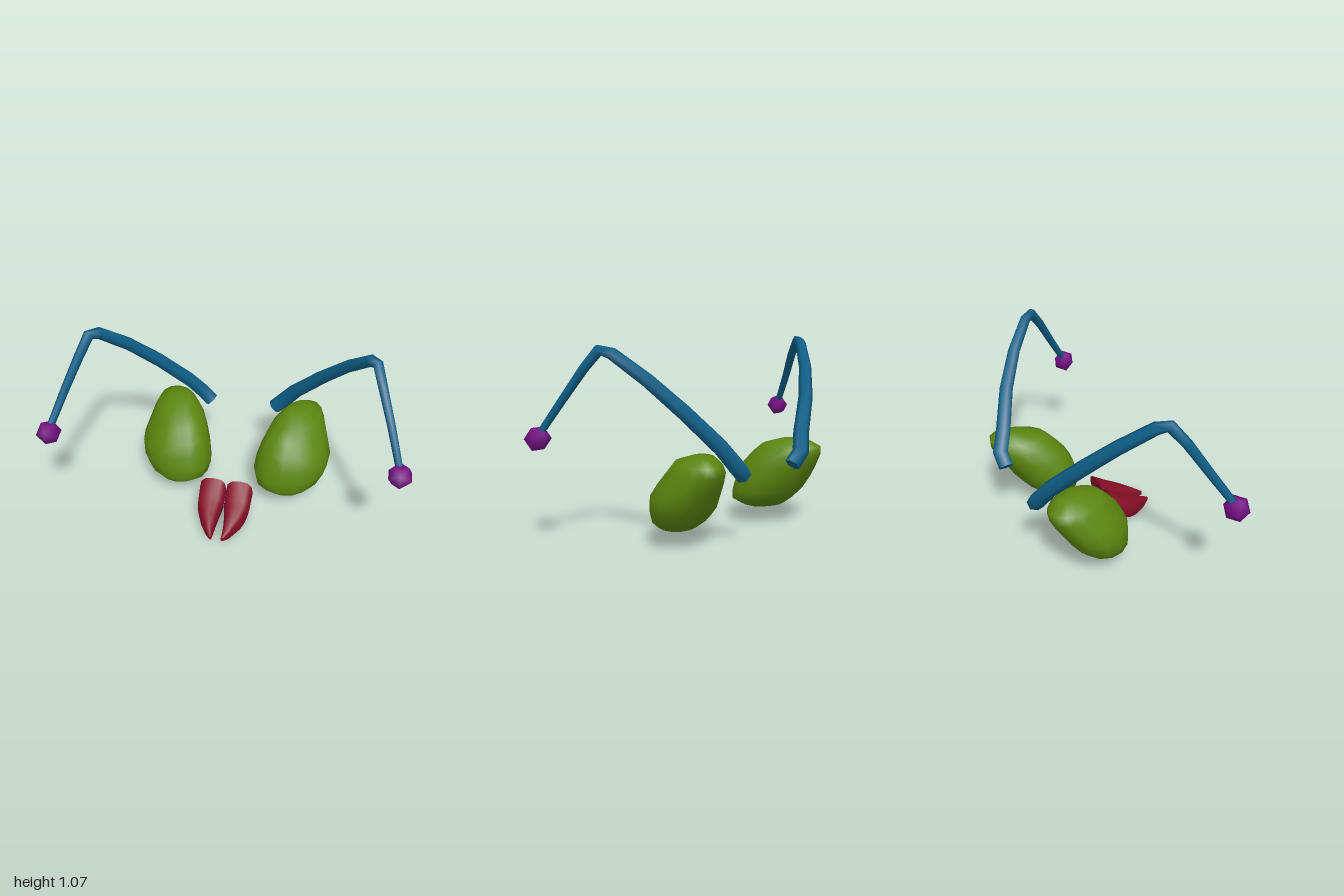
import * as THREE from 'three';
import { mergeVertices } from 'three/addons/utils/BufferGeometryUtils.js';

const V = (x, y, z) => new THREE.Vector3(x, y, z);
const mat = (color) => new THREE.MeshStandardMaterial({ color });
const eyeMat = mat(0x5c8610);
const armMat = mat(0x0f6088);
const ballMat = mat(0x760f84);
const jawMat = mat(0x860f28);

// Skin equal-length rings of points; side = -1 mirrors across x = 0.
function loft(rings, side, sharpCaps) {
  const n = rings[0].length;
  const pos = [];
  const idx = [];
  const add = (p) => pos.push(p.x * side, p.y, p.z) / 3 - 1;
  const tri = (a, b, c) => (side > 0 ? idx.push(a, b, c) : idx.push(a, c, b));
  rings.forEach((ring) => ring.forEach(add));
  for (let r = 0; r < rings.length - 1; r++) {
    for (let i = 0; i < n; i++) {
      const a = r * n + i;
      const b = r * n + ((i + 1) % n);
      tri(a, b, a + n);
      tri(b, b + n, a + n);
    }
  }
  [0, rings.length - 1].forEach((r) => {
    const ring = rings[r];
    const mid = V(0, 0, 0);
    ring.forEach((p) => mid.addScaledVector(p, 1 / n));
    const start = sharpCaps ? ring.map(add)[0] : r * n;
    const c = add(mid);
    for (let i = 0; i < n; i++) {
      const a = start + i;
      const b = start + ((i + 1) % n);
      if (r === 0) tri(b, a, c);
      else tri(a, b, c);
    }
  });
  const g = new THREE.BufferGeometry();
  g.setAttribute('position', new THREE.Float32BufferAttribute(pos, 3));
  g.setIndex(idx);
  g.computeVertexNormals();
  return g;
}

const around = (n, f) => Array.from({ length: n }, (_, i) => f((i / n) * Math.PI * 2));
const rounded = (v, power) => Math.sign(v) * Math.abs(v) ** power;
const mix = THREE.MathUtils.lerp;

// Eye: horizontal slices as [y, zBack, zFront, xInner, xOuter]
function eyeGeometry(side) {
  const slices = [
    [0.075, -0.07, 0.02, 0.29, 0.4],
    [0.1, -0.16, 0.07, 0.22, 0.46],
    [0.14, -0.21, 0.1, 0.15, 0.51],
    [0.2, -0.265, 0.092, 0.132, 0.548],
    [0.28, -0.315, 0.08, 0.145, 0.56],
    [0.35, -0.36, 0.04, 0.17, 0.535],
    [0.42, -0.397, -0.02, 0.205, 0.51],
    [0.47, -0.4, -0.07, 0.25, 0.485],
    [0.508, -0.335, -0.19, 0.3, 0.42],
  ];
  const rings = slices.map(([y, z0, z1, x0, x1]) => around(14, (t) => {
    const dz = (Math.cos(t) * (z1 - z0)) / 2;
    const dx = (Math.sin(t) * (x1 - x0)) / 2;
    return V((x0 + x1) / 2 + dx - dz * 0.2, y, (z0 + z1) / 2 + dz);
  }));
  return loft(rings, side, false);
}

// Antenna: bent tapering stalk as [x, y, z, radius]
function antennaGeometry(side) {
  const path = [
    [0.195, 0.4, -0.388, 0.044],
    [0.26, 0.465, -0.392, 0.046],
    [0.32, 0.56, -0.345, 0.044],
    [0.475, 0.74, -0.25, 0.041],
    [0.61, 0.9, -0.135, 0.037],
    [0.725, 1.03, -0.005, 0.033],
    [0.76, 1.045, 0.05, 0.03],
    [0.8, 0.95, 0.125, 0.026],
    [0.86, 0.8, 0.22, 0.023],
    [0.93, 0.61, 0.345, 0.02],
  ];
  const pts = path.map((p) => V(p[0], p[1], p[2]));
  const rings = pts.map((p, i) => {
    const dir = pts[Math.min(i + 1, pts.length - 1)].clone().sub(pts[Math.max(i - 1, 0)]).normalize();
    const u = V(0.73, 0, -0.68);
    u.addScaledVector(dir, -u.dot(dir)).normalize();
    const v = dir.clone().cross(u);
    const r = path[i][3];
    return around(6, (t) => p.clone().addScaledVector(u, Math.cos(t) * r).addScaledVector(v, Math.sin(t) * r));
  });
  return loft(rings, side, true);
}

// Mandible: slices as [zTop, zBottom, yTop, yBottom, xInner, xOuter]
function mandibleGeometry(side) {
  const slices = [
    [0.13, 0.15, 0.222, 0.08, 0, 0.155],
    [0.22, 0.22, 0.167, 0.026, 0.001, 0.15],
    [0.265, 0.265, 0.145, 0.01, 0.012, 0.14],
    [0.315, 0.315, 0.122, 0.001, 0.02, 0.118],
    [0.39, 0.39, 0.083, 0.012, 0.026, 0.072],
    [0.432, 0.432, 0.06, 0.035, 0.026, 0.042],
  ];
  const rings = slices.map(([zt, zb, yt, yb, x0, x1]) => around(12, (t) => {
    const a = (rounded(Math.cos(t), 0.75) + 1) / 2;
    const b = (rounded(Math.sin(t), 0.75) + 1) / 2;
    return V(mix(x0, x1, a), mix(yb, yt, b), mix(zb, zt, b));
  }));
  return loft(rings, side, true);
}

// Faceted ball at the antenna tip, softly shaded
function ballGeometry() {
  const g = new THREE.IcosahedronGeometry(0.069, 0);
  g.deleteAttribute('normal');
  g.deleteAttribute('uv');
  const merged = mergeVertices(g);
  merged.computeVertexNormals();
  return merged;
}

export function createModel() {
  const model = new THREE.Group();
  model.name = 'insectFace';
  const add = (name, geometry, material) => {
    const mesh = new THREE.Mesh(geometry, material);
    mesh.name = name;
    model.add(mesh);
    return mesh;
  };
  for (const [side, label] of [[1, 'left'], [-1, 'right']]) {
    add(label + 'Eye', eyeGeometry(side), eyeMat);
    add(label + 'Antenna', antennaGeometry(side), armMat);
    add(label + 'Mandible', mandibleGeometry(side), jawMat);
    add(label + 'AntennaTip', ballGeometry(), ballMat).position.set(side * 0.932, 0.594, 0.35);
  }
  return model;
}
